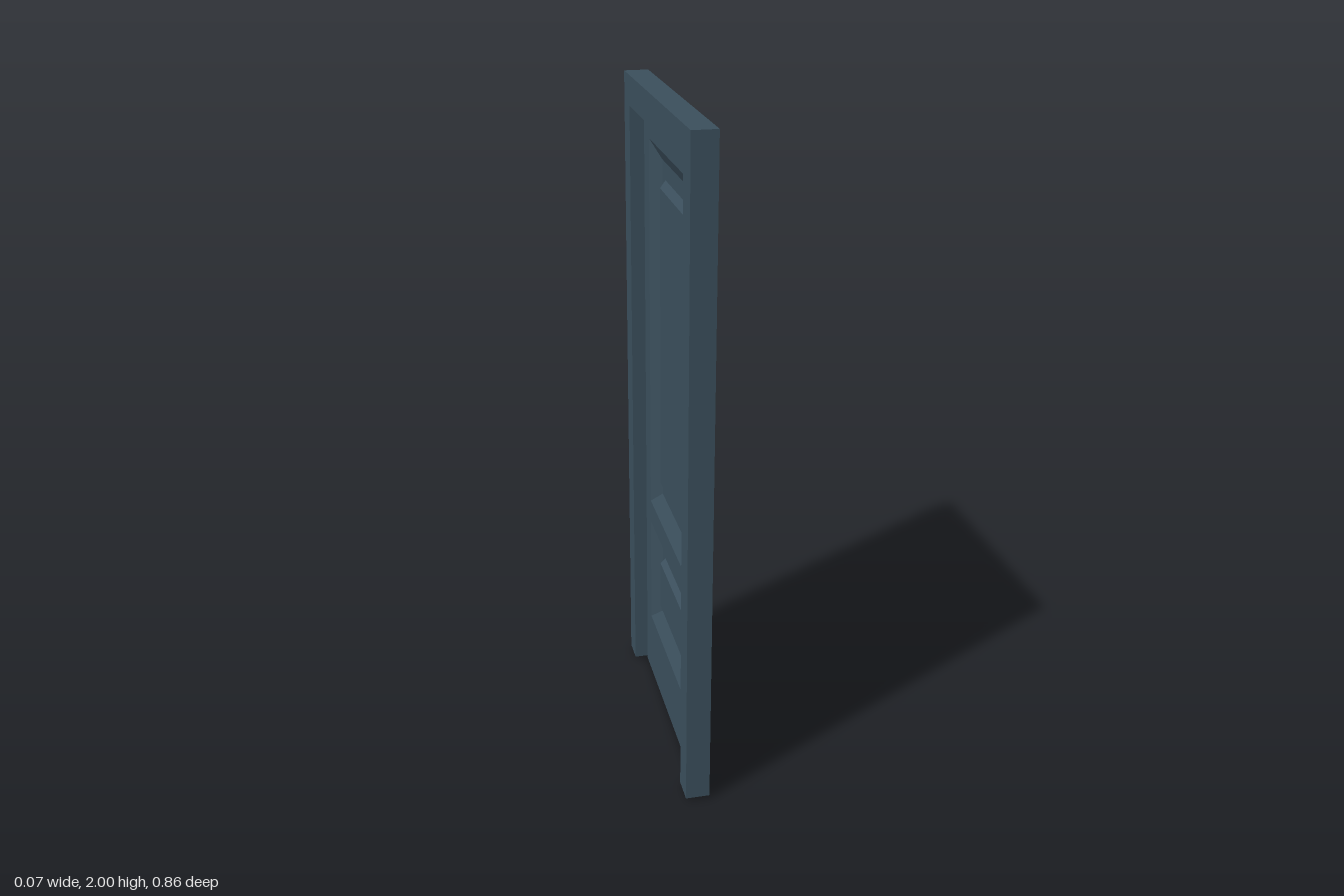
import * as THREE from 'three';

const paint = new THREE.MeshStandardMaterial({ color: 0x3a4e5b, side: THREE.DoubleSide });
paint.name = 'slate blue paint';

// Four corners of a rectangle, anticlockwise: half width w, from y0 to y1, at depth d
const corners = ({ w, y0, y1, d }) => [
  [-w, y0, d], [w, y0, d], [w, y1, d], [-w, y1, d],
];

// Joins successive rectangles with flat faces; skipBottom leaves the lower side open
function ringStrip(rings, skipBottom = false) {
  const pos = [];
  for (let r = 0; r < rings.length - 1; r++) {
    const a = corners(rings[r]);
    const b = corners(rings[r + 1]);
    for (let i = skipBottom ? 1 : 0; i < 4; i++) {
      const j = (i + 1) % 4;
      pos.push(...a[i], ...a[j], ...b[j], ...a[i], ...b[j], ...b[i]);
    }
  }
  const geo = new THREE.BufferGeometry();
  geo.setAttribute('position', new THREE.Float32BufferAttribute(pos, 3));
  geo.computeVertexNormals();
  return geo;
}

// Flat sheet with optional rectangular holes
function sheet(rect, holes = []) {
  const toPoints = (q) => corners(q).map(([x, y]) => new THREE.Vector2(x, y));
  const shape = new THREE.Shape(toPoints(rect));
  holes.forEach((h) => shape.holes.push(new THREE.Path(toPoints(h).reverse())));
  return new THREE.ShapeGeometry(shape).translate(0, 0, rect.d);
}

export function createModel() {
  const model = new THREE.Group();
  model.name = 'panelledDoor';
  const door = new THREE.Group();
  door.name = 'doorAssembly';
  door.rotation.y = Math.PI / 2; // the door face looks along +x
  model.add(door);

  const add = (parent, name, geo) => {
    const mesh = new THREE.Mesh(geo, paint);
    mesh.name = name;
    parent.add(mesh);
  };

  const front = 0.036;  // depth of frame edges and raised panels
  const face = 0.007;   // depth of the door leaf
  const sunk = 0.017;   // depth of the sunken centre fields

  // Frame: channel section around both sides and the top, open at the front
  const outer = { w: 0.428, y0: 0.01, y1: 2 };
  const inner = { w: 0.35, y0: 0.01, y1: 1.912 };
  add(door, 'frame', ringStrip([
    { ...inner, d: front }, { ...inner, d: -front },
    { ...outer, d: -front }, { ...outer, d: front },
  ], true));

  // Panels: sloped border, raised flat, stepped edge and sunken field
  const panels = [
    {
      name: 'upperPanel',
      base: { w: 0.28, y0: 0.65, y1: 1.83 },
      top: { w: 0.23, y0: 0.697, y1: 1.778 },
      step: { w: 0.187, y0: 0.745, y1: 1.727 },
      field: { w: 0.174, y0: 0.765, y1: 1.708 },
    },
    {
      name: 'lowerPanel',
      base: { w: 0.28, y0: 0.213, y1: 0.575 },
      top: { w: 0.23, y0: 0.26, y1: 0.523 },
      step: { w: 0.188, y0: 0.303, y1: 0.482 },
      field: { w: 0.179, y0: 0.312, y1: 0.472 },
    },
  ];
  for (const p of panels) {
    const group = new THREE.Group();
    group.name = p.name;
    door.add(group);
    add(group, 'panelMoulding', ringStrip([
      { ...p.base, d: face }, { ...p.top, d: front },
      { ...p.step, d: front }, { ...p.field, d: sunk },
    ]));
    add(group, 'panelField', sheet({ ...p.field, d: sunk }));
  }

  // Leaf with openings for the panels
  const leaf = { w: 0.35, y0: 0, y1: 1.903, d: face };
  add(door, 'leaf', sheet(leaf, panels.map((p) => p.base)));

  return model;
}
